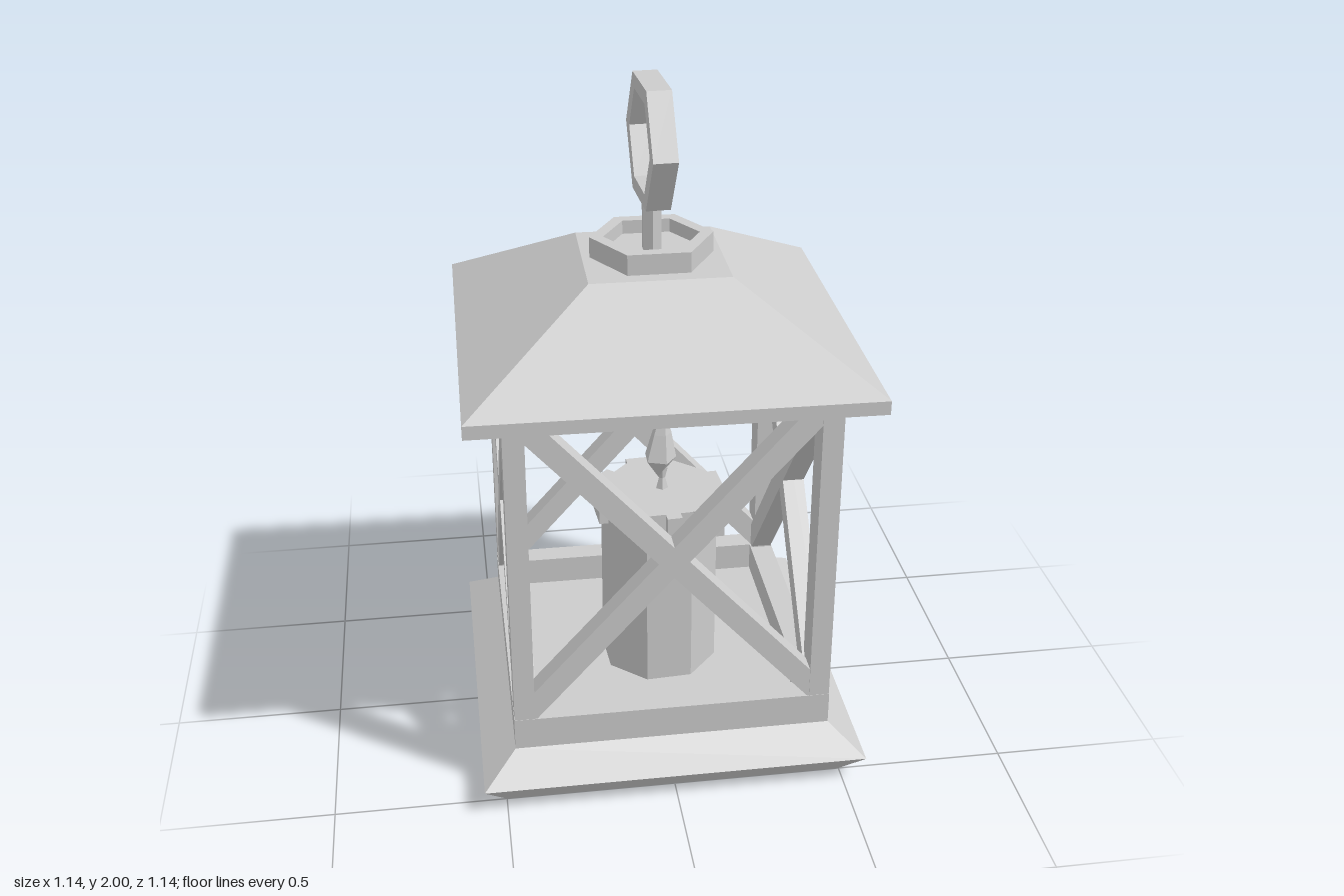
import * as THREE from 'three';

const material = new THREE.MeshStandardMaterial({ color: 0xcccccc, flatShading: true });

function add(parent, name, geometry, x = 0, y = 0, z = 0) {
  const mesh = new THREE.Mesh(geometry, material);
  mesh.name = name;
  mesh.position.set(x, y, z);
  parent.add(mesh);
  return mesh;
}

// Faceted solid of revolution from [radius, y] points, listed bottom to top
function turned(points, sides, start, scale = 1) {
  const profile = points.map(([r, y]) => new THREE.Vector2(r * scale, y));
  return new THREE.LatheGeometry(profile, sides, start);
}
// Square version: the radii are half-widths
const square = (points) => turned(points, 4, Math.PI / 4, Math.SQRT2);

// Two crossed bars filling one side, facing +z before the panel is turned
function crossPanel(halfSpan, distance) {
  const panel = new THREE.Group();
  const rise = 0.96;
  const length = Math.hypot(2 * halfSpan, rise);
  for (const s of [-1, 1]) {
    const bar = add(panel, 'crossBar', new THREE.BoxGeometry(length, 0.066, 0.065), 0, 0.75, distance - 0.0325);
    bar.rotation.z = s * Math.atan2(rise, 2 * halfSpan);
  }
  return panel;
}

function hexagon(PathType, radius) {
  const pts = [];
  for (let i = 0; i < 6; i++) {
    const a = (i * Math.PI) / 3;
    pts.push(new THREE.Vector2(radius * Math.cos(a), radius * Math.sin(a)));
  }
  return new PathType(pts);
}

function createCandle() {
  const candle = new THREE.Group();
  candle.name = 'candle';
  candle.position.set(0.017, 0, 0.03);

  const sides = 8, radius = 0.18, turn = 0.454;
  add(candle, 'candleBody', turned([[0, 0.16], [radius, 0.16], [radius, 0.75], [0, 0.75]], sides, turn));

  // Melted wax: [facet, width, drop, sideways shift]
  const drips = [
    [7, 0.045, 0.16, 0.01], [0, 0.13, 0.07, 0], [1, 0.06, 0.16, -0.03], [1, 0.13, 0.07, 0],
    [3, 0.13, 0.03, 0], [4, 0.05, 0.12, 0.02], [5, 0.13, 0.07, 0], [5, 0.05, 0.07, 0.02],
  ];
  const apothem = radius * Math.cos(Math.PI / sides);
  for (const [facet, width, drop, shift] of drips) {
    const pivot = new THREE.Group();
    pivot.name = 'waxDrip';
    pivot.rotation.y = turn + ((facet + 0.5) * 2 * Math.PI) / sides;
    add(pivot, 'wax', new THREE.BoxGeometry(width, drop, 0.05), shift, 0.75 - drop / 2, apothem + 0.003);
    candle.add(pivot);
  }

  // Wick and flame
  add(candle, 'wick', turned([[0, 0.74], [0.022, 0.74], [0.01, 0.785], [0.018, 0.82], [0, 0.82]], 5, 0), 0.01, 0, 0);
  const flame = turned([[0, 0.785], [0.05, 0.85], [0.03, 0.93], [0, 1.02]], 5, 0.3);
  const pos = flame.attributes.position;
  for (let i = 0; i < pos.count; i++) { // lean the tip slightly
    const t = Math.max(0, pos.getY(i) - 0.8);
    pos.setX(i, pos.getX(i) + t * 0.08);
    pos.setZ(i, pos.getZ(i) - t * 0.1);
  }
  add(candle, 'flame', flame);
  return candle;
}

export function createModel() {
  const lantern = new THREE.Group();
  lantern.name = 'lantern';

  // Flared base with raised sill and recessed floor
  add(lantern, 'base', square([
    [0, 0], [0.5, 0], [0.565, 0.08], [0.467, 0.155], [0.467, 0.255], [0.395, 0.255], [0.395, 0.165], [0, 0.165],
  ]));

  // Corner posts
  for (const x of [-1, 1]) for (const z of [-1, 1]) {
    add(lantern, 'cornerPost', new THREE.BoxGeometry(0.06, 1.0, 0.09), x * 0.436, 0.74, z * 0.421);
  }

  // Crossed braces on all four sides
  const names = ['frontBraces', 'leftBraces', 'backBraces', 'rightBraces'];
  names.forEach((name, i) => {
    const panel = crossPanel(i % 2 ? 0.41 : 0.43, 0.464);
    panel.name = name;
    panel.rotation.y = (i * Math.PI) / 2;
    lantern.add(panel);
  });

  // Hipped roof
  const roof = add(lantern, 'roof', square([[0, 1.23], [0.565, 1.23], [0.565, 1.27], [0.2, 1.495], [0, 1.495]]));
  roof.rotation.y = -0.009;

  // Hexagonal cap with a recessed top, and the stem standing in it
  add(lantern, 'cap', turned([[0, 1.49], [0.178, 1.49], [0.178, 1.555], [0.138, 1.555], [0.138, 1.515], [0, 1.515]], 6, Math.PI / 2));
  add(lantern, 'stem', new THREE.CylinderGeometry(0.03, 0.03, 0.17, 6), 0, 1.59, 0);

  // Hexagonal carrying ring
  const ringShape = hexagon(THREE.Shape, 0.195);
  ringShape.holes.push(hexagon(THREE.Path, 0.147));
  const ringGeometry = new THREE.ExtrudeGeometry(ringShape, { depth: 0.07, bevelEnabled: false });
  ringGeometry.translate(0, 0, -0.035);
  ringGeometry.rotateZ(0.02);
  ringGeometry.rotateY(Math.PI / 2 + 0.06);
  add(lantern, 'carryingRing', ringGeometry, 0, 1.829, 0);

  lantern.add(createCandle());
  return lantern;
}
